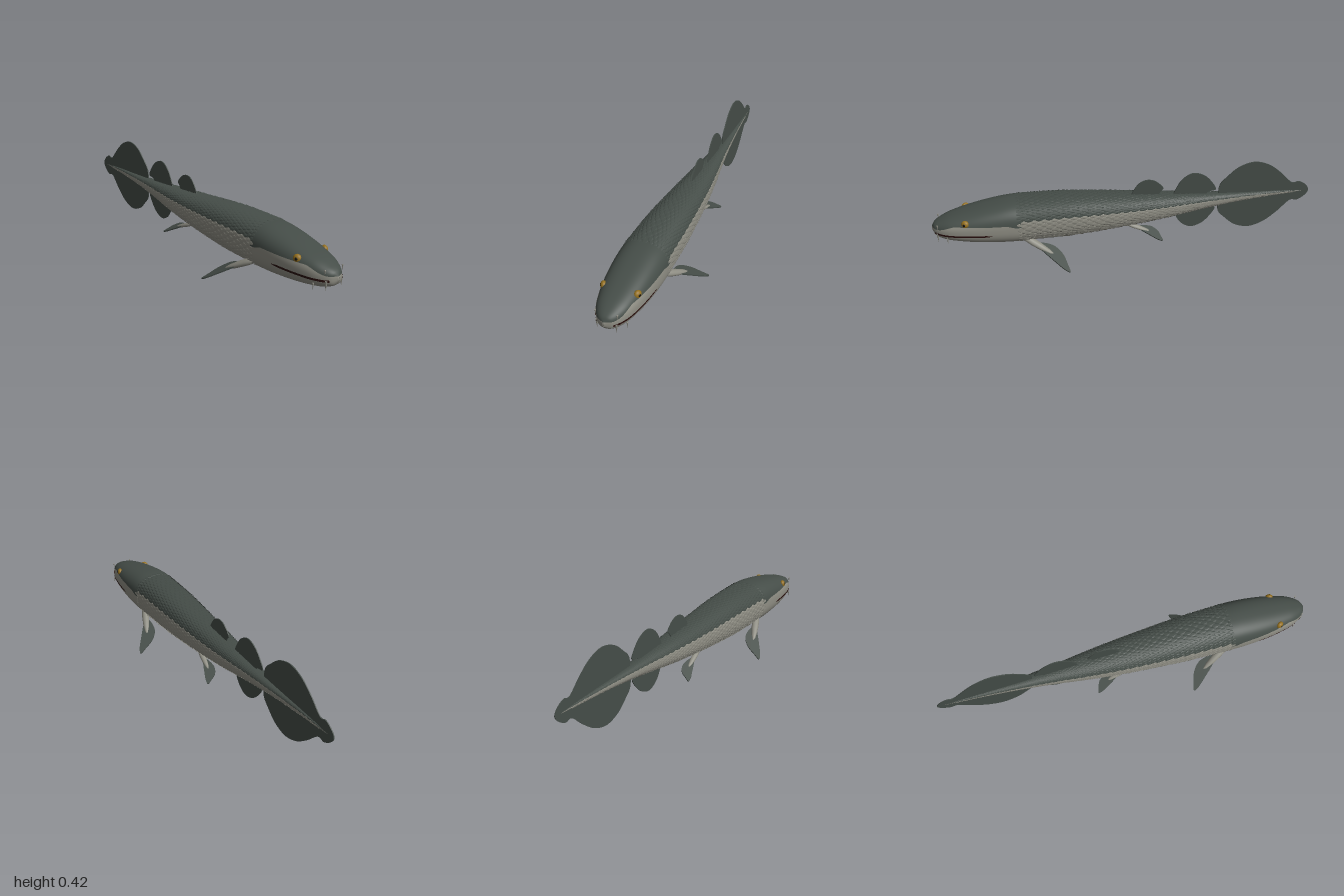
import * as THREE from 'three';

const paint = (name, color) => {
  const m = new THREE.MeshStandardMaterial({ color, side: THREE.DoubleSide });
  m.name = name;
  return m;
};

// Body stations: z, top y, bottom y, half width
const ST = [
  [1, 0.212, 0.188, 0.006], [0.985, 0.232, 0.166, 0.035], [0.95, 0.25, 0.15, 0.062], [0.9, 0.268, 0.139, 0.083],
  [0.8, 0.292, 0.124, 0.104], [0.7, 0.311, 0.114, 0.115], [0.6, 0.324, 0.107, 0.119], [0.5, 0.325, 0.107, 0.116],
  [0.3, 0.318, 0.107, 0.11], [0, 0.289, 0.126, 0.09], [-0.2, 0.271, 0.144, 0.07], [-0.4, 0.253, 0.169, 0.045],
  [-0.6, 0.239, 0.191, 0.026], [-0.8, 0.228, 0.204, 0.011], [-0.96, 0.217, 0.211, 0.003],
];
const N = 2.5; // superellipse exponent of the cross-section

// Smooth (Hermite) interpolation of one station column
function at(z, k) {
  let i = 0;
  while (i < ST.length - 2 && z < ST[i + 1][0]) i++;
  const slope = (j) => {
    const a = ST[Math.max(j - 1, 0)], b = ST[Math.min(j + 1, ST.length - 1)];
    return (b[k] - a[k]) / (b[0] - a[0]);
  };
  const h = ST[i + 1][0] - ST[i][0], u = THREE.MathUtils.clamp((z - ST[i][0]) / h, 0, 1), v = 1 - u;
  return v * v * (1 + 2 * u) * ST[i][k] + u * u * (3 - 2 * u) * ST[i + 1][k]
    + h * u * v * (v * slope(i) - u * slope(i + 1));
}

// Point on the skin; lift moves it outward
function skin(z, t, lift = 0) {
  const top = at(z, 1), bot = at(z, 2), c = Math.cos(t), s = Math.sin(t);
  const p = (v) => Math.sign(v) * Math.abs(v) ** (2 / N);
  return [(at(z, 3) + lift) * p(c), (top + bot) / 2 + ((top - bot) / 2 + lift) * p(s), z];
}

// Section angle on the +x side for a given height
function angleAt(z, y) {
  const top = at(z, 1), bot = at(z, 2);
  const f = THREE.MathUtils.clamp((2 * y - top - bot) / (top - bot), -0.98, 0.98);
  return Math.asin(Math.sign(f) * Math.abs(f) ** (N / 2));
}

// Patch of skin between two angles, over a list of [z, lift] rows
function patch(rows, lo, hi, cols) {
  const pos = [], idx = [];
  rows.forEach(([z, lift], i) => {
    const a = lo(z), b = hi(z);
    for (let j = 0; j <= cols; j++) {
      pos.push(...skin(z, a + ((b - a) * j) / cols, lift));
      if (i && j < cols) {
        const q = i * (cols + 1) + j, p = q - cols - 1;
        idx.push(p, q, p + 1, p + 1, q, q + 1);
      }
    }
  });
  const g = new THREE.BufferGeometry();
  g.setAttribute('position', new THREE.Float32BufferAttribute(pos, 3));
  g.setIndex(idx);
  g.computeVertexNormals();
  return g;
}

const EDGE = 0.32; // angle where back colour meets belly colour

// Overlapping pointed scales, one geometry for the back and one for the belly
function scales(onBack) {
  const pos = [], around = 36, d = Math.PI / around;
  let z = 0.57, row = 0;
  while (z > -0.9) {
    const size = THREE.MathUtils.clamp(at(z, 3) / 0.11, 0.3, 1), len = 0.03 * (0.4 + 0.6 * size);
    for (let i = 0; i < around; i++) {
      const t = (2 * i + (row % 2)) * d;
      if ((Math.sin(t) > Math.sin(EDGE)) !== onBack) continue;
      const up = 0.0065 * size;
      const front = skin(z + len, t, 0.0005), tip = skin(z - len, t, up);
      const a = skin(z, t - d, 0.001), b = skin(z, t + d, 0.001);
      const a2 = skin(z - len * 0.6, t - d * 0.6, up * 0.8), b2 = skin(z - len * 0.6, t + d * 0.6, up * 0.8);
      for (const [p, q] of [[a, a2], [a2, tip], [tip, b2], [b2, b]]) pos.push(...front, ...q, ...p);
    }
    z -= len * 0.85;
    row++;
  }
  const g = new THREE.BufferGeometry();
  g.setAttribute('position', new THREE.Float32BufferAttribute(pos.map((v, i) => v), 3));
  // corners run so that the outer side is the front
  const p = g.attributes.position;
  for (let i = 0; i < p.count; i += 3) {
    const A = new THREE.Vector3().fromBufferAttribute(p, i), B = new THREE.Vector3().fromBufferAttribute(p, i + 1);
    const C = new THREE.Vector3().fromBufferAttribute(p, i + 2);
    const n = B.clone().sub(A).cross(C.clone().sub(A));
    if (n.x * A.x + n.y * (A.y - 0.215) < 0) {
      p.setXYZ(i + 1, C.x, C.y, C.z);
      p.setXYZ(i + 2, B.x, B.y, B.z);
    }
  }
  g.computeVertexNormals();
  return g;
}

// Thin plate from a smooth closed outline
function plate(pts, depth) {
  const s = new THREE.Shape();
  s.moveTo(...pts[0]);
  s.splineThru(pts.slice(1).map((p) => new THREE.Vector2(...p)));
  s.closePath();
  return new THREE.ExtrudeGeometry(s, { depth, bevelEnabled: false, curveSegments: 36 }).translate(0, 0, -depth / 2);
}

export function createModel() {
  const model = new THREE.Group();
  const back = paint('dark back', 0x454d48);
  const belly = paint('pale belly', 0x8f8e84);
  const fin = paint('fin', 0x454d48);
  const amber = paint('amber eye', 0x94701f);
  const black = paint('pupil', 0x14120f);
  const gum = paint('mouth', 0x2a0f0d);
  const add = (name, geo, mat, parent = model) => {
    const m = new THREE.Mesh(geo, mat);
    m.name = name;
    parent.add(m);
    return m;
  };

  // Scaly trunk
  const trunk = Array.from({ length: 61 }, (_, i) => [0.6 - (1.56 * i) / 60, -0.0005]);
  add('trunkBack', patch(trunk, () => EDGE, () => Math.PI - EDGE, 24), back);
  add('trunkBelly', patch(trunk, () => Math.PI - EDGE, () => 2 * Math.PI + EDGE, 32), belly);
  add('backScales', scales(true), back);
  add('bellyScales', scales(false), belly);

  // Smooth head with a raised rear rim
  const head = Array.from({ length: 41 }, (_, i) => [1 - 0.44 * (i / 40) ** 2, 0.003 * (i / 40)]);
  head.push([0.553, 0.003], [0.549, -0.004]);
  const line = (z) => {
    const s = THREE.MathUtils.smoothstep;
    return angleAt(z, 0.228 + 0.015 * s(z, 0.57, 0.63) - 0.03 * s(z, 0.87, 0.985));
  };
  add('headTop', patch(head, line, (z) => Math.PI - line(z), 32), back);
  add('headUnderside', patch(head, (z) => Math.PI - line(z), (z) => 2 * Math.PI + line(z), 40), belly);
  add('noseTip', new THREE.SphereGeometry(0.012, 16, 10).scale(0.6, 1, 0.3).translate(0, 0.2, 0.997), belly);

  // Upright fins, outlines as [z, y]
  const upright = (name, pts) => add(name, plate(pts.map(([z, y]) => [-z, y]), 0.005).rotateY(Math.PI / 2), fin);
  upright('frontDorsalFin', [[-0.02, 0.27], [-0.04, 0.315], [-0.07, 0.353], [-0.11, 0.368], [-0.155, 0.355],
    [-0.195, 0.312], [-0.18, 0.29], [-0.17, 0.26]]);
  const second = [[-0.24, 0.24], [-0.26, 0.29], [-0.29, 0.345], [-0.33, 0.377], [-0.37, 0.383], [-0.42, 0.36],
    [-0.46, 0.315], [-0.48, 0.273], [-0.44, 0.262], [-0.42, 0.235]];
  upright('rearDorsalFin', second);
  upright('analFin', second.map(([z, y]) => [z, 0.432 - y]));
  const tail = [[-0.5, 0.295], [-0.54, 0.345], [-0.6, 0.397], [-0.68, 0.42], [-0.76, 0.396], [-0.83, 0.342], [-0.9, 0.272],
    [-0.94, 0.274], [-0.98, 0.25]];
  upright('tailFin', [[-0.495, 0.215], ...tail, [-1, 0.215], ...tail.map(([z, y]) => [z, 0.43 - y]).reverse(), [-0.495, 0.215]]);

  // Fleshy paired fins: a lobe and a blade along an axis, spread along w
  const paired = (name, side, base, end, k) => {
    const g = new THREE.Group();
    g.name = name;
    g.scale.x = side;
    const b = new THREE.Vector3(...base), a = new THREE.Vector3(...end).sub(b);
    const L = a.length();
    a.normalize();
    const w = new THREE.Vector3(0.907, -0.41, -0.12);
    const m = new THREE.Matrix4().makeBasis(w, a, w.clone().cross(a).normalize()).setPosition(b);
    const blade = [[0, 0.15], [0.03, 0.42], [0.05, 0.65], [0.065, 0.85], [0.06, 1], [0.02, 0.98], [-0.03, 0.93],
      [-0.055, 0.78], [-0.05, 0.6], [-0.03, 0.4], [0, 0.15]];
    add('finBlade', plate(blade.map(([x, s]) => [x * k, s * L]), 0.006).applyMatrix4(m), fin, g);
    const lobe = [[0.001, -0.12], [0.022, -0.08], [0.026, 0.1], [0.023, 0.35], [0.015, 0.55], [0.001, 0.68]];
    add('finLobe', new THREE.LatheGeometry(lobe.map(([r, s]) => new THREE.Vector2(r * k, s * L)), 16)
      .scale(1, 1, 0.65).applyMatrix4(m), belly, g);
    model.add(g);
  };

  for (const [side, label] of [[1, 'left'], [-1, 'right']]) {
    paired(label + 'PectoralFin', side, [0.085, 0.135, 0.53], [0.176, 0.028, 0.335], 1);
    paired(label + 'PelvicFin', side, [0.05, 0.135, -0.01], [0.079, 0.069, -0.172], 0.62);

    // Eye with pupil
    const eye = new THREE.Group();
    eye.name = label + 'Eye';
    eye.position.set(side * 0.083, 0.256, 0.828);
    eye.rotation.set(-0.25, side * 1.15, 0);
    add('iris', new THREE.SphereGeometry(0.02, 20, 14).scale(1, 1, 0.75), amber, eye);
    add('pupil', new THREE.SphereGeometry(0.007, 12, 8).scale(1, 1, 0.4).translate(0, 0, 0.0135), black, eye);
    model.add(eye);

    // Mouth slit
    const rows = Array.from({ length: 25 }, (_, i) => [0.985 - (0.285 * i) / 24, 0.004]);
    const edge = (dy) => (z) => {
      const t = angleAt(z, 0.192 + dy * Math.min(1, (z - 0.69) / 0.04));
      return side > 0 ? t : Math.PI - t;
    };
    add(label + 'Mouth', patch(rows, edge(-0.005 * side), edge(0.005 * side), 2), gum);

    // Fangs and nostril barbel
    for (const [x, y, z, len, r] of [[0.047, 0.166, 0.973, 0.055, 0.006], [0.076, 0.157, 0.925, 0.032, 0.004],
      [0.053, 0.23, 0.968, 0.026, 0.004]]) {
      const fang = add(label + 'Fang', new THREE.ConeGeometry(r, len, 8).rotateX(Math.PI), belly);
      fang.position.set(side * x, y, z);
    }
  }
  return model;
}
